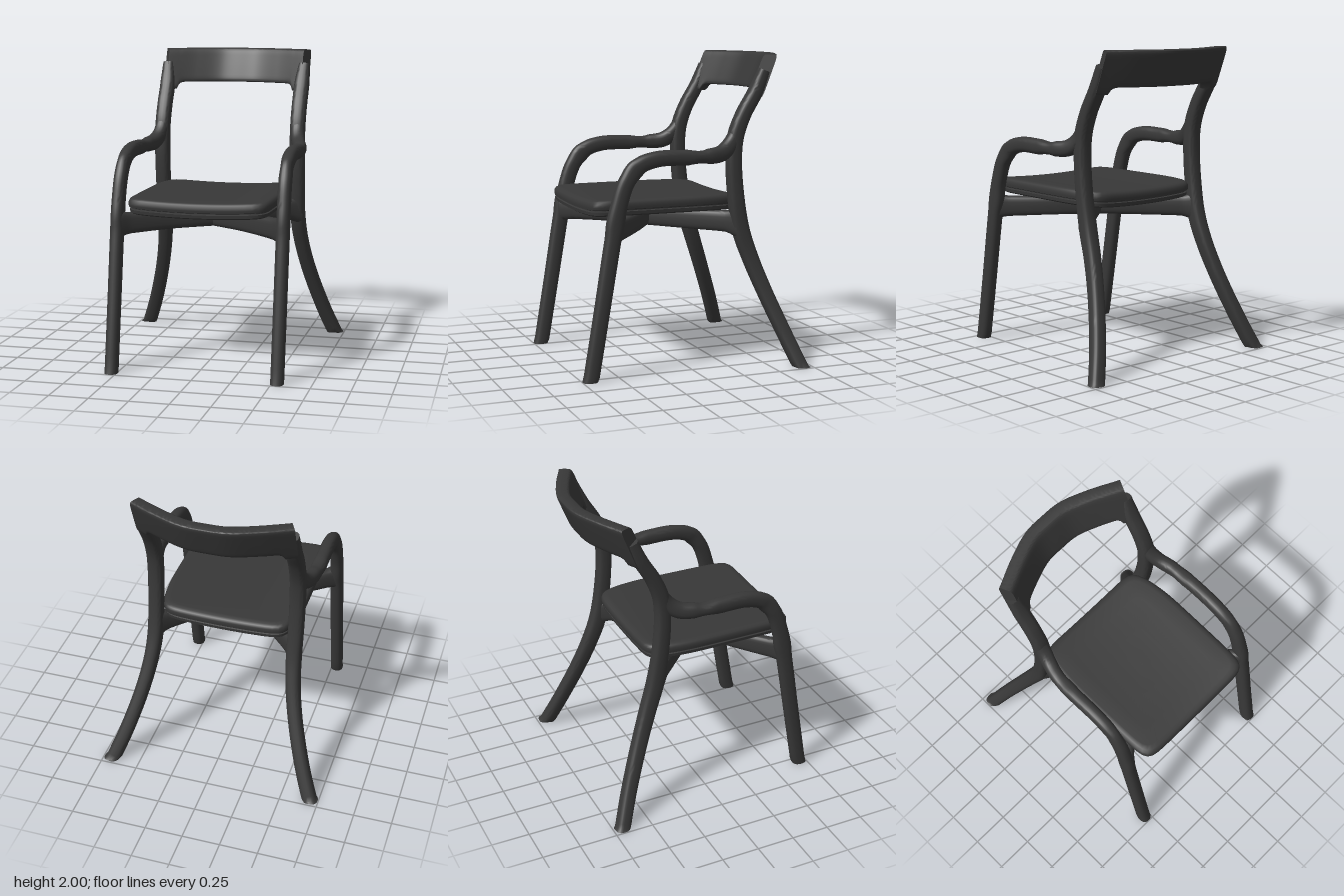
import * as THREE from 'three';
import { toCreasedNormals } from 'three/addons/utils/BufferGeometryUtils.js';

const material = new THREE.MeshStandardMaterial({ color: 0x383838 });
const V = (x, y, z) => new THREE.Vector3(x, y, z);

// Closed skin through rings of equal length, with both ends capped
function loft(rings) {
  const n = rings[0].length, pos = [], idx = [];
  rings.forEach(r => r.forEach(p => pos.push(p.x, p.y, p.z)));
  for (let i = 0; i < rings.length - 1; i++) {
    for (let j = 0; j < n; j++) {
      const a = i * n + j, b = i * n + (j + 1) % n;
      idx.push(a, b, b + n, a, b + n, a + n);
    }
  }
  [0, rings.length - 1].forEach(i => {
    const c = rings[i].reduce((s, p) => s.add(p), V(0, 0, 0)).divideScalar(n);
    const k = pos.push(c.x, c.y, c.z) / 3 - 1;
    for (let j = 0; j < n; j++) {
      const a = i * n + j, b = i * n + (j + 1) % n;
      if (i) idx.push(k, a, b); else idx.push(k, b, a);
    }
  });
  const g = new THREE.BufferGeometry();
  g.setAttribute('position', new THREE.Float32BufferAttribute(pos, 3));
  g.setIndex(idx);
  return toCreasedNormals(g, 0.8);
}

// Rounded cross-section: pairs in the range -1..1
function section(power, count) {
  return Array.from({ length: count }, (_, j) => {
    const t = j / count * Math.PI * 2, c = Math.cos(t), s = Math.sin(t);
    return [Math.sign(c) * Math.abs(c) ** (2 / power), Math.sign(s) * Math.abs(s) ** (2 / power)];
  });
}

// Sweep through stations [x, y, z, half width along ref, half depth]
function sweep(stations, ref, power = 2.7, steps = 56) {
  const path = new THREE.CatmullRomCurve3(stations.map(s => V(s[0], s[1], s[2])), false, 'centripetal');
  const size = new THREE.CatmullRomCurve3(stations.map(s => V(s[3], s[4], 0)));
  const sec = section(power, 24), rings = [];
  for (let i = 0; i <= steps; i++) {
    const t = i / steps, c = path.getPoint(t), T = path.getTangent(t), h = size.getPoint(t);
    const B = ref.clone().addScaledVector(T, -ref.dot(T)).normalize();
    const N = T.clone().cross(B);
    rings.push(sec.map(([u, v]) => {
      const p = c.clone().addScaledVector(B, u * h.x).addScaledVector(N, v * h.y);
      p.y = Math.max(p.y, 0); // feet are cut flat on the floor
      return p;
    }));
  }
  return loft(rings);
}

// Bowed, leaning top rail whose lower edge rounds down into the posts
function crestGeometry() {
  const half = [[0.13, -0.688], [0.3, -0.628], [0.492, -0.537]];
  const pts = [...half.map(([x, z]) => V(-x, 0, z)).reverse(), V(0, 0, -0.695), ...half.map(([x, z]) => V(x, 0, z))];
  const path = new THREE.CatmullRomCurve3(pts), sec = section(7, 40), rings = [];
  for (let i = 0; i <= 80; i++) {
    const c = path.getPointAt(i / 80), T = path.getTangentAt(i / 80);
    const front = V(-T.z, 0, T.x);
    const k = THREE.MathUtils.clamp((Math.abs(c.x) - 0.375) / 0.045, 0, 1);
    const low = 1.77 - 0.045 * (1 - Math.sqrt(1 - k * k));
    rings.push(sec.map(([u, v]) => {
      const y = (2 + low) / 2 + u * (2 - low) / 2;
      const p = c.clone().addScaledVector(front, v * 0.046);
      return p.set(p.x, y, p.z + (2 - y) * 0.39);
    }));
  }
  return loft(rings);
}

// Dished pad on a thin board, from scaled rounded-square outlines
function seatGeometry() {
  const side = 20, outline = [];
  for (let e = 0; e < 4; e++) {
    for (let j = 0; j < side; j++) {
      const t = j / side * 2 - 1;
      const [z, x] = [[1, t], [-t, 1], [-1, -t], [t, -1]][e];
      const k = (Math.abs(x) ** 12 + Math.abs(z) ** 12) ** (-1 / 12);
      outline.push([x * k, z * k]);
    }
  }
  const levels = [
    [0.02, 1.012], [0.35, 1.012], [0.7, 1.012], [0.95, 1.014], [0.98, 1.022], [0.985, 1.042],
    [0.965, 1.046], [0.965, 1.051], [0.995, 1.056], [1, 1.07], [1, 1.088], [0.985, 1.104],
    [0.955, 1.113], [0.9, 1.116], [0.7, 1.116], [0.35, 1.116], [0.02, 1.116]];
  return loft(levels.map(([s, y]) => outline.map(([u, v]) => {
    const z = 0.135 + v * s * 0.505;
    const w = 0.462 - (z < 0 ? 0.05 * (z / 0.37) ** 2 : 0.008 * (z / 0.64) ** 2);
    const x = u * s * w;
    return V(x, y - 0.02 * (1 - (x / 0.462) ** 2), z);
  })));
}

export function createModel() {
  const chair = new THREE.Group();
  chair.name = 'armchair';
  const add = (name, geometry) => {
    const m = new THREE.Mesh(geometry, material);
    m.name = name;
    chair.add(m);
  };
  const X = V(1, 0, 0), Y = V(0, 1, 0);

  for (const [s, label] of [[1, 'left'], [-1, 'right']]) {
    const side = list => list.map(([x, ...rest]) => [x * s, ...rest]);

    // Front leg bending over into the armrest, then rising into the back post
    add(label + 'FrontLegAndArm', sweep(side([
      [0.535, -0.03, 0.7, 0.042, 0.049],
      [0.535, 0.45, 0.618, 0.042, 0.05],
      [0.535, 0.9, 0.542, 0.042, 0.052],
      [0.534, 1.1, 0.502, 0.042, 0.052],
      [0.532, 1.24, 0.45, 0.042, 0.052],
      [0.53, 1.33, 0.37, 0.042, 0.052],
      [0.53, 1.368, 0.25, 0.043, 0.05],
      [0.531, 1.37, 0.05, 0.044, 0.049],
      [0.522, 1.37, -0.1, 0.044, 0.049],
      [0.497, 1.385, -0.2, 0.045, 0.052],
      [0.476, 1.44, -0.27, 0.046, 0.05],
      [0.47, 1.54, -0.325, 0.043, 0.04],
    ]), X, 2.5, 80));

    // Splayed back leg continuing up as the back post
    add(label + 'BackLegAndPost', sweep(side([
      [0.7, -0.04, -0.695, 0.048, 0.046],
      [0.61, 0.2, -0.603, 0.047, 0.047],
      [0.528, 0.48, -0.492, 0.046, 0.049],
      [0.485, 0.7, -0.408, 0.047, 0.052],
      [0.47, 0.88, -0.348, 0.049, 0.055],
      [0.47, 1.1, -0.311, 0.049, 0.051],
      [0.47, 1.33, -0.294, 0.05, 0.049],
      [0.47, 1.48, -0.305, 0.05, 0.05],
      [0.47, 1.62, -0.357, 0.05, 0.047],
      [0.471, 1.76, -0.438, 0.05, 0.045],
      [0.478, 1.9, -0.497, 0.038, 0.036],
    ]), X, 2.9, 80));

    // Crossing stretchers under the seat, flared where they meet the legs
    const centre = [0, 0.935, 0.13, 0.06, 0.036];
    add(label + 'FrontStretcher', sweep(side([
      [0.53, 0.932, 0.537, 0.085, 0.045],
      [0.47, 0.932, 0.48, 0.068, 0.037],
      [0.25, 0.935, 0.3, 0.062, 0.036],
      centre,
    ]), Y, 3.2, 30));
    add(label + 'BackStretcher', sweep(side([
      [0.475, 0.932, -0.335, 0.1, 0.05],
      [0.41, 0.935, -0.27, 0.069, 0.039],
      [0.22, 0.935, -0.08, 0.064, 0.036],
      centre,
    ]), Y, 3.2, 30));
  }

  add('crestRail', crestGeometry());
  add('seat', seatGeometry());
  return chair;
}
